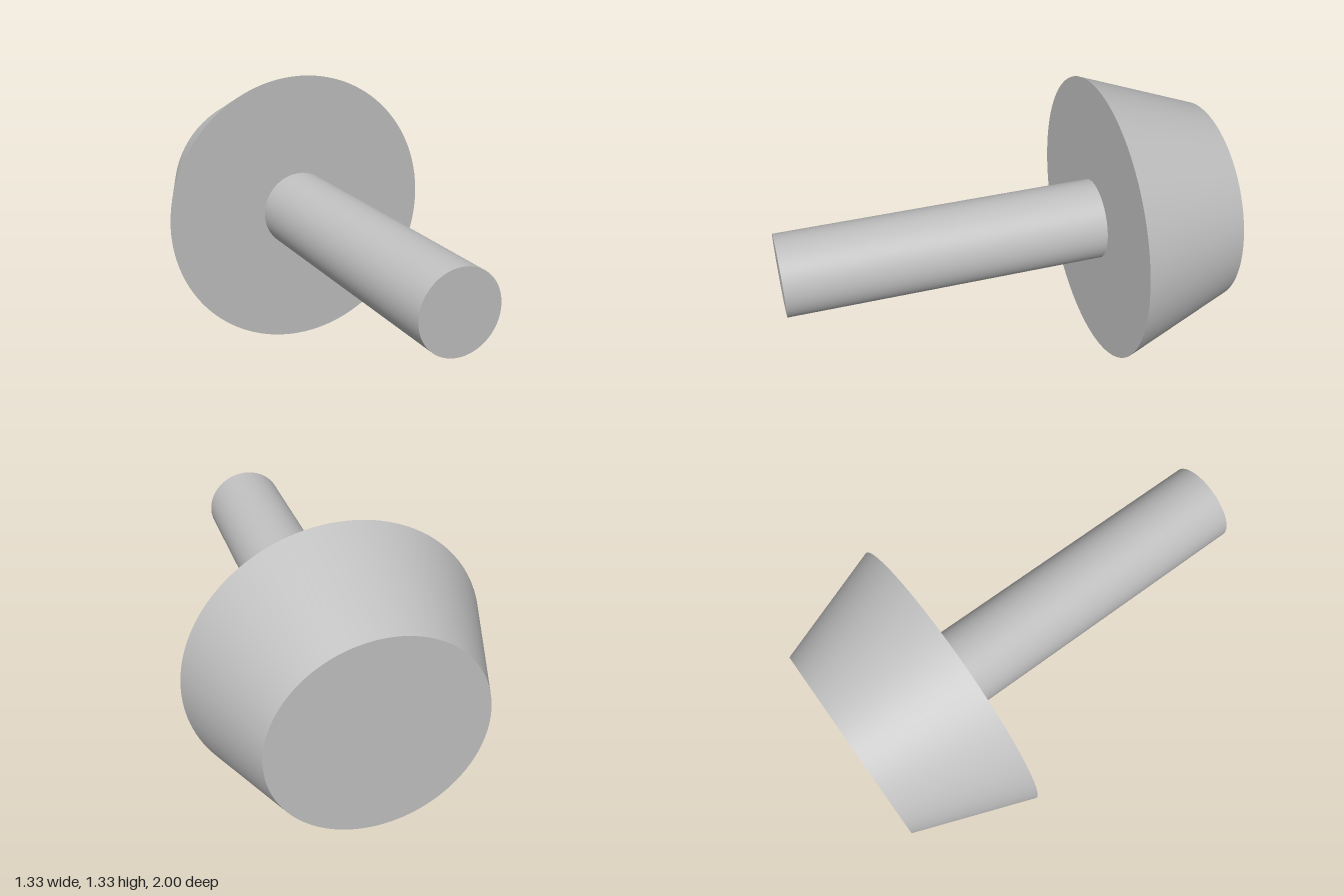
import * as THREE from 'three';

export function createModel() {
  const group = new THREE.Group();
  const grey = new THREE.MeshStandardMaterial({ color: 0xc0c0c0 });
  grey.name = 'light grey';

  const axisHeight = 0.667;
  const headFront = -0.467;

  // Round section lying along z, from zBack to zFront
  function addRound(name, frontRadius, backRadius, zBack, zFront) {
    const geometry = new THREE.CylinderGeometry(frontRadius, backRadius, zFront - zBack, 128);
    geometry.rotateX(Math.PI / 2);
    const mesh = new THREE.Mesh(geometry, grey);
    mesh.name = name;
    mesh.position.set(0, axisHeight, (zBack + zFront) / 2);
    group.add(mesh);
  }

  // Tapered head, wide side towards the stem
  addRound('head', 0.667, 0.47, -1, headFront);
  // Straight stem
  addRound('stem', 0.187, 0.187, headFront, 1);

  return group;
}
